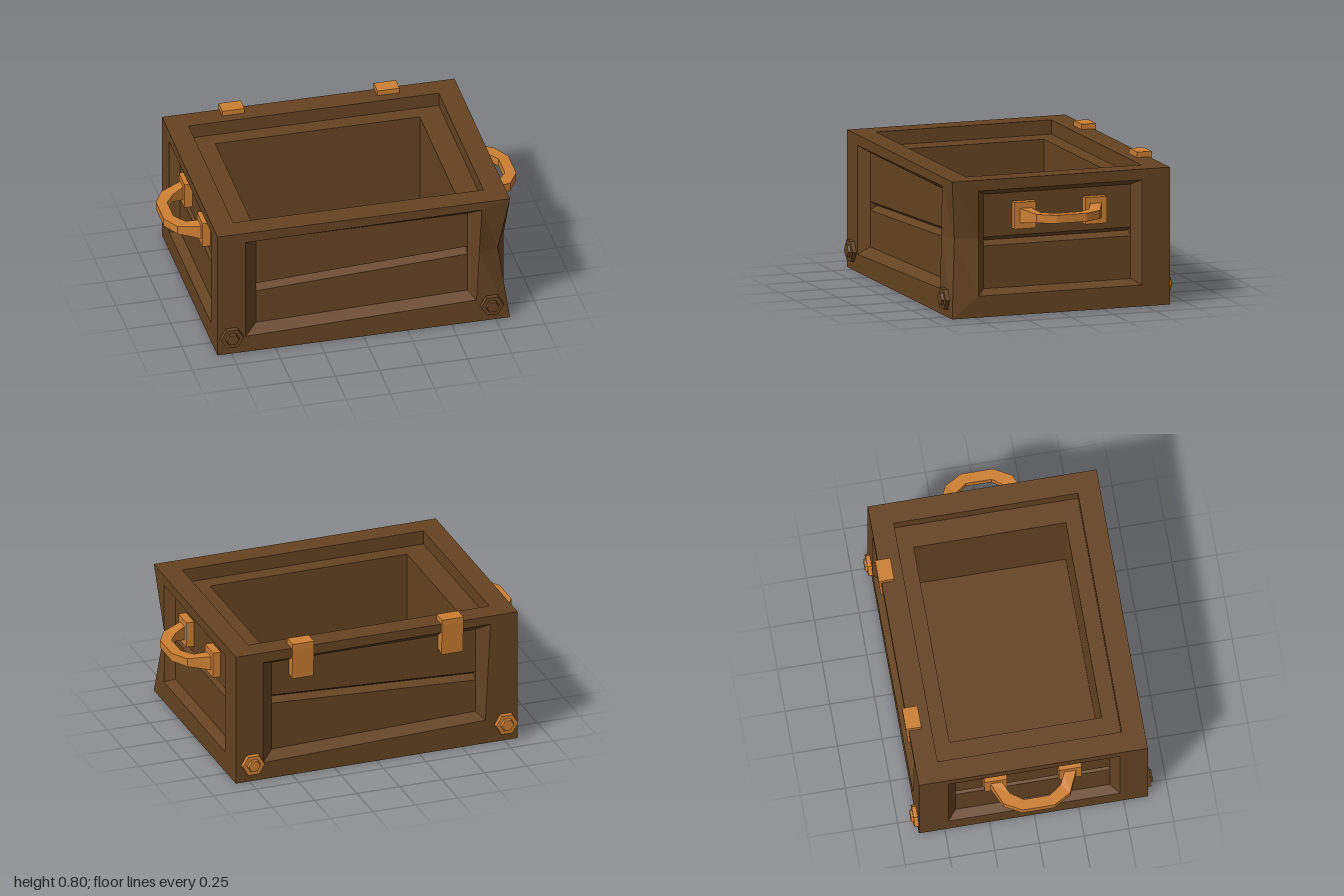
import * as THREE from 'three';

const wood = new THREE.MeshStandardMaterial({ color: 0x654321, flatShading: true });
const bronze = new THREE.MeshStandardMaterial({ color: 0xcd7f32, flatShading: true });

const X = 0.83, H = 0.77, ZF = 0.635, ZB = -0.645;
const RECESS = 0.05, GROOVE = 0.09;

// Mesh from a list of polygons (corners counter-clockwise from outside)
function polyMesh(name, polys, material) {
  const pos = [];
  for (const p of polys)
    for (let i = 1; i < p.length - 1; i++) pos.push(...p[0], ...p[i], ...p[i + 1]);
  const geo = new THREE.BufferGeometry();
  geo.setAttribute('position', new THREE.Float32BufferAttribute(pos, 3));
  geo.computeVertexNormals();
  const mesh = new THREE.Mesh(geo, material);
  mesh.name = name;
  return mesh;
}

// Framed wall with a bevelled recess and a V groove between two planks.
// place(u, v, d): u to the right and v up as seen from outside, d inwards.
// Corner lists run bottom left, bottom right, top right, top left.
function wall(name, place, s) {
  const [u0, u1] = s.span;
  const P = (c) => place(c[0], c[1], c[2] || 0);
  const polys = [];
  const add = (...c) => polys.push(c.map(P));
  const corner = [[u0, 0], [u1, 0], [u1, H], [u0, H]];
  const open = s.open;
  const inner = s.inner.map(([u, v]) => [u, v, RECESS]);
  const chips = { 1: s.chipRight, 3: s.chipLeft };
  for (let i = 0; i < 4; i++) {
    const j = (i + 1) % 4, chip = chips[i];
    if (chip) {
      const t = (chip[1] - open[i][1]) / (open[j][1] - open[i][1]);
      const m = [open[i][0] + t * (open[j][0] - open[i][0]), chip[1]];
      add(corner[i], chip, m, open[i]);
      add(chip, corner[j], open[j], m);
    } else add(corner[i], corner[j], open[j], open[i]);
    add(open[i], open[j], inner[j], inner[i]);
  }
  // Planks and groove: upper lip, valley, lower lip at each end
  const ends = [s.grooveLeft, s.grooveRight].map((g, k) =>
    [0, 1, 2].map((n) => [inner[k][0], g[n], n === 1 ? GROOVE : RECESS]));
  const [L, R] = ends;
  add(inner[0], inner[1], R[2], L[2]);
  add(L[2], R[2], R[1], L[1]);
  add(L[1], R[1], R[0], L[0]);
  add(L[0], R[0], inner[2], inner[3]);
  add(L[0], L[2], L[1]);
  add(R[0], R[1], R[2]);
  return polyMesh(name, polys, wood);
}

// Rim, stepped ledge, inner walls, floor and underside
function interior() {
  const ring = (x, z0, z1, y) => [[-x, y, z1], [x, y, z1], [x, y, z0], [-x, y, z0]];
  const rings = [
    ring(X, ZB, ZF, H), ring(0.71, -0.52, 0.51, H), ring(0.71, -0.52, 0.51, 0.69),
    ring(0.58, -0.43, 0.42, 0.69), ring(0.58, -0.43, 0.42, 0.1),
  ];
  const polys = [rings[4], ring(X, ZB, ZF, 0).reverse()];
  for (let k = 0; k < 4; k++)
    for (let i = 0; i < 4; i++) {
      const j = (i + 1) % 4;
      polys.push([rings[k][i], rings[k][j], rings[k + 1][j], rings[k + 1][i]]);
    }
  return polyMesh('rimAndInterior', polys, wood);
}

// Faceted grip on two mounting plates, projecting along +x
function handle(name) {
  const group = new THREE.Group();
  group.name = name;
  // Half of the grip: outer x, outer z, inner x, inner z, half height
  const half = [
    [0.78, 0.245, 0.78, 0.165, 0.044], [0.83, 0.238, 0.83, 0.172, 0.04],
    [0.945, 0.187, 0.89, 0.142, 0.024], [1, 0.09, 0.94, 0.072, 0.023],
  ];
  const path = [...half, ...half.map(([a, b, c, d, h]) => [a, -b, c, -d, h]).reverse()];
  const y = 0.555;
  const sections = path.map(([ox, oz, ix, iz, h]) =>
    [[ox, y - h, oz], [ox, y + h, oz], [ix, y + h, iz], [ix, y - h, iz]]);
  const polys = [];
  for (let k = 0; k < sections.length - 1; k++)
    for (let i = 0; i < 4; i++) {
      const j = (i + 1) % 4, a = sections[k], b = sections[k + 1];
      polys.push([a[i], b[i], b[j], a[j]]);
    }
  group.add(polyMesh('grip', polys, bronze));
  for (const s of [1, -1]) {
    const plate = new THREE.Mesh(new THREE.BoxGeometry(0.05, 0.15, 0.126), bronze);
    plate.name = 'handlePlate';
    plate.position.set(0.8, y, s * 0.208);
    group.add(plate);
  }
  group.position.z = -0.005;
  return group;
}

// Hook-shaped latch over the back rim
function latch(x) {
  const shape = new THREE.Shape([
    [0.575, 0.8], [0.575, 0.765], [0.6, 0.765], [0.6, 0.6],
    [0.65, 0.585], [0.661, 0.765], [0.661, 0.8],
  ].map(([a, b]) => new THREE.Vector2(a, b)));
  const geo = new THREE.ExtrudeGeometry(shape, { depth: 0.126, bevelEnabled: false });
  geo.translate(0, 0, -0.063).rotateY(Math.PI / 2);
  const mesh = new THREE.Mesh(geo, bronze);
  mesh.name = 'latch';
  mesh.position.x = x;
  return mesh;
}

// Hexagonal bolt with a flange and a raised head
function bolt(name, x, y, z, dir, material) {
  const group = new THREE.Group();
  group.name = name;
  for (const [part, r0, r1, from, to] of [
    ['flange', 0.068, 0.064, -0.01, 0.023], ['head', 0.042, 0.034, 0.02, 0.036]]) {
    const geo = new THREE.CylinderGeometry(r1, r0, to - from, 6);
    geo.rotateY(Math.PI / 6).translate(0, (from + to) / 2, 0).rotateX(Math.PI / 2);
    const mesh = new THREE.Mesh(geo, material);
    mesh.name = part;
    group.add(mesh);
  }
  group.position.set(x, y, z);
  if (dir < 0) group.rotation.y = Math.PI;
  return group;
}

export function createModel() {
  const model = new THREE.Group();
  model.name = 'crate';

  // Long walls have slightly crooked openings, end walls are straight
  const long = {
    span: [-X, X],
    open: [[-0.67, 0.1], [0.64, 0.14], [0.67, 0.72], [-0.67, 0.71]],
    inner: [[-0.6, 0.15], [0.6, 0.18], [0.6, 0.68], [-0.6, 0.68]],
  };
  const end = {
    open: [[-0.48, 0.12], [0.48, 0.12], [0.48, 0.71], [-0.48, 0.71]],
    inner: [[-0.432, 0.15], [0.432, 0.15], [0.432, 0.68], [-0.432, 0.68]],
    grooveLeft: [0.44, 0.415, 0.39], grooveRight: [0.44, 0.415, 0.39],
  };

  // The front left upright is chipped halfway up
  model.add(
    wall('frontWall', (u, v, d) => [u, v, ZF - d], {
      ...long, chipRight: [0.77, 0.44, 0.035],
      grooveLeft: [0.405, 0.38, 0.355], grooveRight: [0.465, 0.44, 0.415],
    }),
    wall('backWall', (u, v, d) => [-u, v, ZB + d], {
      ...long, grooveLeft: [0.48, 0.455, 0.43], grooveRight: [0.42, 0.395, 0.37],
    }),
    wall('leftWall', (u, v, d) => [X - d, v, -u], {
      ...end, span: [-ZF, -ZB], chipLeft: [-0.6, 0.44, 0.06],
    }),
    wall('rightWall', (u, v, d) => [-X + d, v, u], { ...end, span: [ZB, ZF] }),
    interior(),
  );

  const rightHandle = handle('rightHandle');
  rightHandle.rotation.y = Math.PI;
  model.add(handle('leftHandle'), rightHandle, latch(-0.442), latch(0.438));

  model.add(
    bolt('frontBolt', -0.75, 0.107, ZF, 1, wood),
    bolt('frontBolt', 0.725, 0.1, ZF, 1, wood),
    bolt('backBolt', -0.76, 0.103, ZB, -1, bronze),
    bolt('backBolt', 0.732, 0.103, ZB, -1, bronze),
  );
  return model;
}
